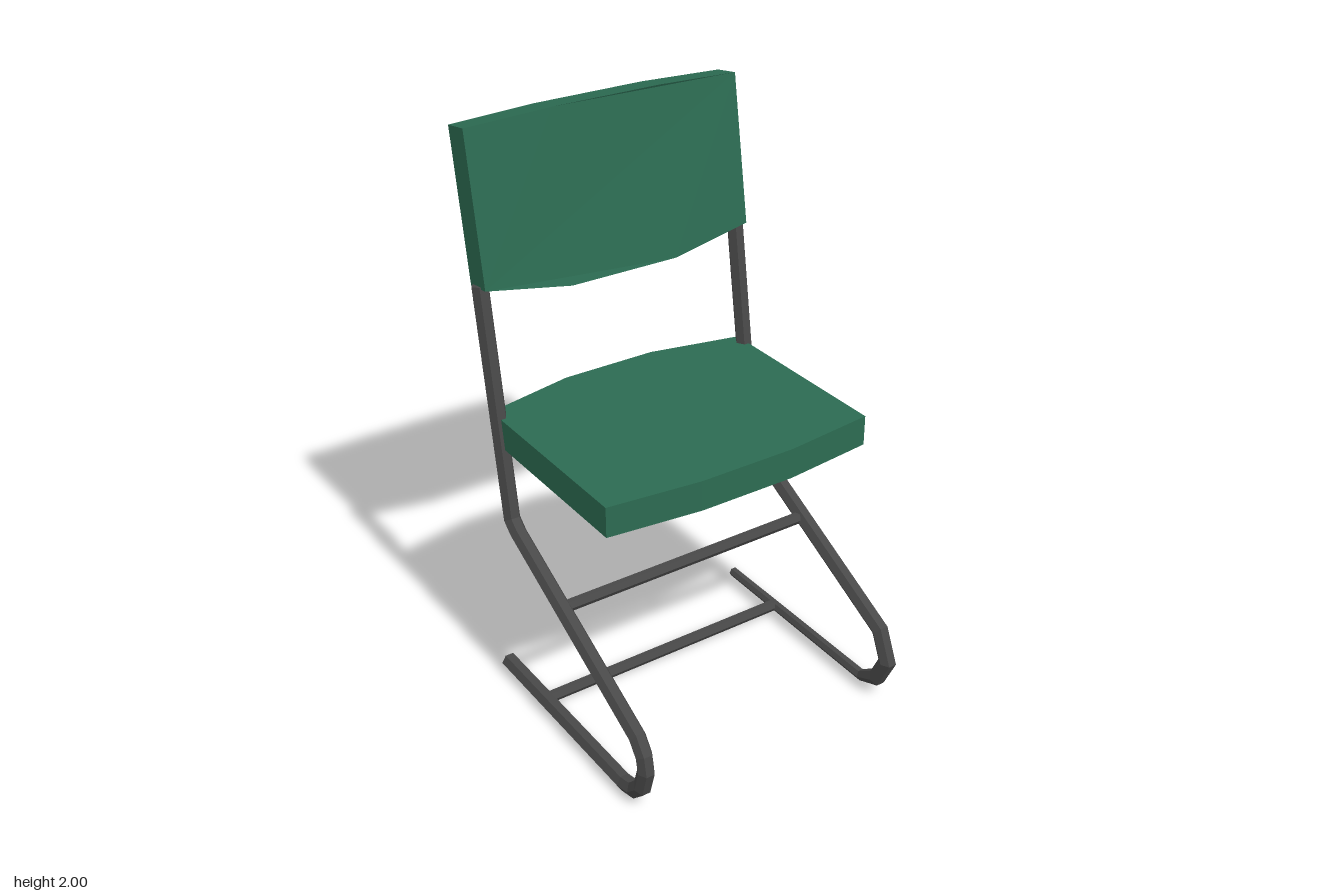
import * as THREE from 'three';

const green = new THREE.MeshStandardMaterial({ color: 0x2c6b52, flatShading: true, side: THREE.DoubleSide });
const dark = new THREE.MeshStandardMaterial({ color: 0x484848, flatShading: true });

// Six-sided tube with mitred bends along a path of [z, y, radius] points
function sweepTube(path, sides = 6) {
  const pts = path.map(([z, y]) => new THREE.Vector2(z, y));
  const pos = [], index = [];
  const last = pts.length - 1;
  pts.forEach((p, i) => {
    const r = path[i][2] ?? 0.03;
    const before = p.clone().sub(pts[Math.max(i - 1, 0)]).normalize();
    const after = pts[Math.min(i + 1, last)].clone().sub(p).normalize();
    const t = before.clone().add(after).normalize();
    const miter = r / t.dot(i < last ? after : before);
    for (let k = 0; k < sides; k++) {
      const a = (k / sides) * Math.PI * 2;
      const d = Math.sin(a) * miter;
      pos.push(Math.cos(a) * r, p.y + t.x * d, p.x - t.y * d);
    }
  });
  for (let i = 0; i < last; i++) {
    for (let k = 0; k < sides; k++) {
      const a = i * sides + k, b = i * sides + (k + 1) % sides;
      index.push(a, b, a + sides, b, b + sides, a + sides);
    }
  }
  const end = last * sides;
  for (let k = 1; k < sides - 1; k++) {
    index.push(0, k + 1, k, end, end + k, end + k + 1);
  }
  const geo = new THREE.BufferGeometry();
  geo.setAttribute('position', new THREE.Float32BufferAttribute(pos, 3));
  geo.setIndex(index);
  const flat = geo.toNonIndexed();
  flat.computeVertexNormals();
  return flat;
}

// Panel with edges bowed in three straight facets, symmetric in x
function bowedPanel(halfWidth, halfFlat, sideLow, midLow, sideHigh, midHigh, depth) {
  const half = [[halfFlat, midLow], [halfWidth, sideLow], [halfWidth, sideHigh], [halfFlat, midHigh]];
  const mirrored = half.map(([x, y]) => [-x, y]).reverse();
  const outline = [...half, ...mirrored].map(([x, y]) => new THREE.Vector2(x, y));
  return new THREE.ExtrudeGeometry(new THREE.Shape(outline), { depth, bevelEnabled: false });
}

export function createModel() {
  const chair = new THREE.Group();
  chair.name = 'chair';
  const add = (name, geo, material) => {
    const mesh = new THREE.Mesh(geo, material);
    mesh.name = name;
    chair.add(mesh);
    return mesh;
  };

  // Side frames: foot, front bend, sloping strut and back upright.
  // The left one has a slimmer foot and a coarser bend.
  const strut = [[0.465, 0.272], [-0.258, 0.64], [-0.297, 0.675], [-0.418, 1.48]];
  const leftPath = [
    [-0.388, 0.026, 0.018], [0.385, 0.026, 0.02], [0.467, 0.07], [0.513, 0.165], ...strut,
  ];
  const rightPath = [
    [-0.385, 0.026], [0.385, 0.026], [0.445, 0.042], [0.49, 0.085],
    [0.513, 0.165], [0.502, 0.222], ...strut,
  ];
  add('leftFrame', sweepTube(leftPath), dark).position.x = 0.493;
  add('rightFrame', sweepTube(rightPath), dark).position.x = -0.493;

  // Cross bars between the frames
  const bar = new THREE.CylinderGeometry(0.021, 0.021, 0.97, 6);
  bar.rotateZ(Math.PI / 2);
  add('upperCrossBar', bar, dark).position.set(0, 0.497, 0.02);
  add('lowerCrossBar', bar, dark).position.set(0, 0.03, -0.12);

  // Seat: a shell drawn in plan (shape y becomes -z), open underneath,
  // so the six triangles of the lower cap are dropped
  const solid = bowedPanel(0.496, 0.172, -0.317, -0.353, 0.392, 0.462, 0.106);
  const seat = new THREE.BufferGeometry();
  const kept = solid.getAttribute('position').array.slice(6 * 9);
  seat.setAttribute('position', new THREE.Float32BufferAttribute(kept, 3));
  seat.rotateX(-Math.PI / 2);
  seat.computeVertexNormals();
  add('seat', seat, green).position.y = 0.932;

  // Backrest, leaning back; its front face bulges forward in the middle
  const back = bowedPanel(0.503, 0.2, 0.052, 0, 0.564, 0.576, 0.108);
  const p = back.getAttribute('position');
  for (let i = 0; i < p.count; i++) {
    const bulge = p.getZ(i) > 0 && Math.abs(p.getX(i)) > 0.4 ? 0.01 : 0;
    p.setZ(i, p.getZ(i) - 0.108 - bulge);
  }
  back.computeVertexNormals();
  const backrest = add('backrest', back, green);
  backrest.rotation.x = -0.157;
  backrest.position.set(0, 1.431, -0.345);

  return chair;
}
